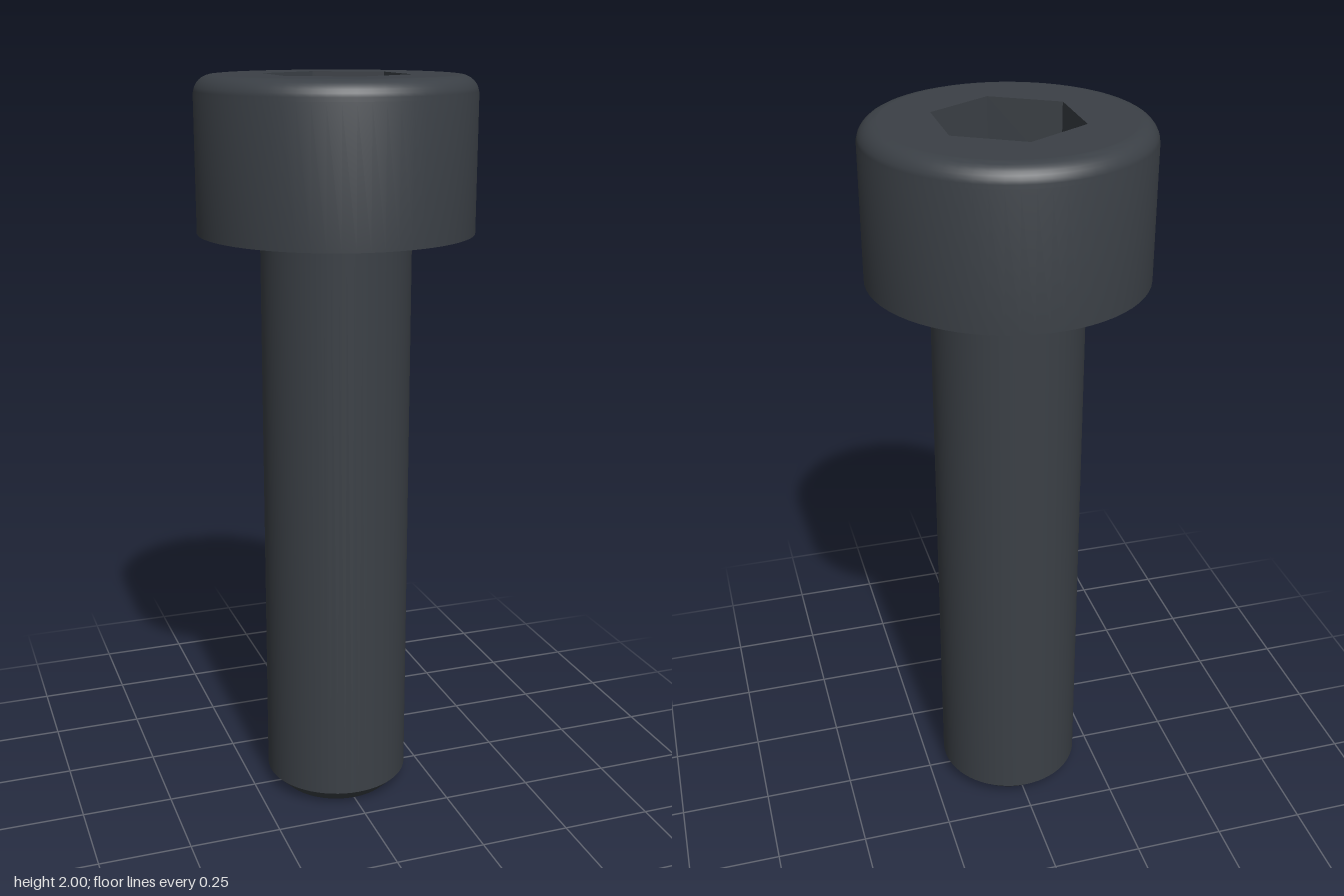
import * as THREE from 'three';
import { toCreasedNormals } from 'three/addons/utils/BufferGeometryUtils.js';

const SEGMENTS = 64;
const HEAD_R = 0.365, HEAD_BOTTOM = 1.6, TOP = 2, FILLET = 0.05;
const SHANK_R = 0.2, CHAMFER = 0.04;
const SOCKET_R = 0.194, SOCKET_DEPTH = 0.2;

// Revolve a profile, keeping hard edges sharp
function revolve(points, segments) {
  const profile = points.map(([r, y]) => new THREE.Vector2(r, y));
  return toCreasedNormals(new THREE.LatheGeometry(profile, segments), Math.PI / 6);
}

function ring(radius, count) {
  return Array.from({ length: count }, (_, i) => {
    const a = (i / count) * Math.PI * 2;
    return new THREE.Vector2(Math.sin(a) * radius, Math.cos(a) * radius);
  });
}

export function createModel() {
  const group = new THREE.Group();
  group.name = 'socketHeadBolt';

  const steel = new THREE.MeshStandardMaterial({ color: 0x3b4046 });
  steel.name = 'blackened steel';

  const add = (name, geometry) => {
    const mesh = new THREE.Mesh(geometry, steel);
    mesh.name = name;
    group.add(mesh);
    return mesh;
  };

  // Shank with chamfered tip
  add('shank', revolve([
    [0, 0], [SHANK_R - CHAMFER, 0], [SHANK_R, CHAMFER], [SHANK_R, HEAD_BOTTOM],
  ], SEGMENTS));

  // Head: flat underside, straight wall, rounded top edge
  const head = [[SHANK_R, HEAD_BOTTOM], [HEAD_R, HEAD_BOTTOM]];
  for (let i = 0; i <= 8; i++) {
    const a = (i / 8) * Math.PI / 2;
    head.push([
      HEAD_R - FILLET + Math.cos(a) * FILLET,
      TOP - FILLET + Math.sin(a) * FILLET,
    ]);
  }
  add('head', revolve(head, SEGMENTS));

  // Flat top face with hexagonal opening
  const face = new THREE.Shape(ring(HEAD_R - FILLET, SEGMENTS));
  face.holes.push(new THREE.Path(ring(SOCKET_R, 6)));
  const faceGeometry = new THREE.ShapeGeometry(face);
  faceGeometry.rotateX(-Math.PI / 2);
  add('headTop', faceGeometry).position.y = TOP;

  // Hex socket: inward-facing walls and floor
  add('hexSocket', revolve([
    [SOCKET_R, TOP], [SOCKET_R, TOP - SOCKET_DEPTH], [0, TOP - SOCKET_DEPTH],
  ], 6));

  return group;
}
